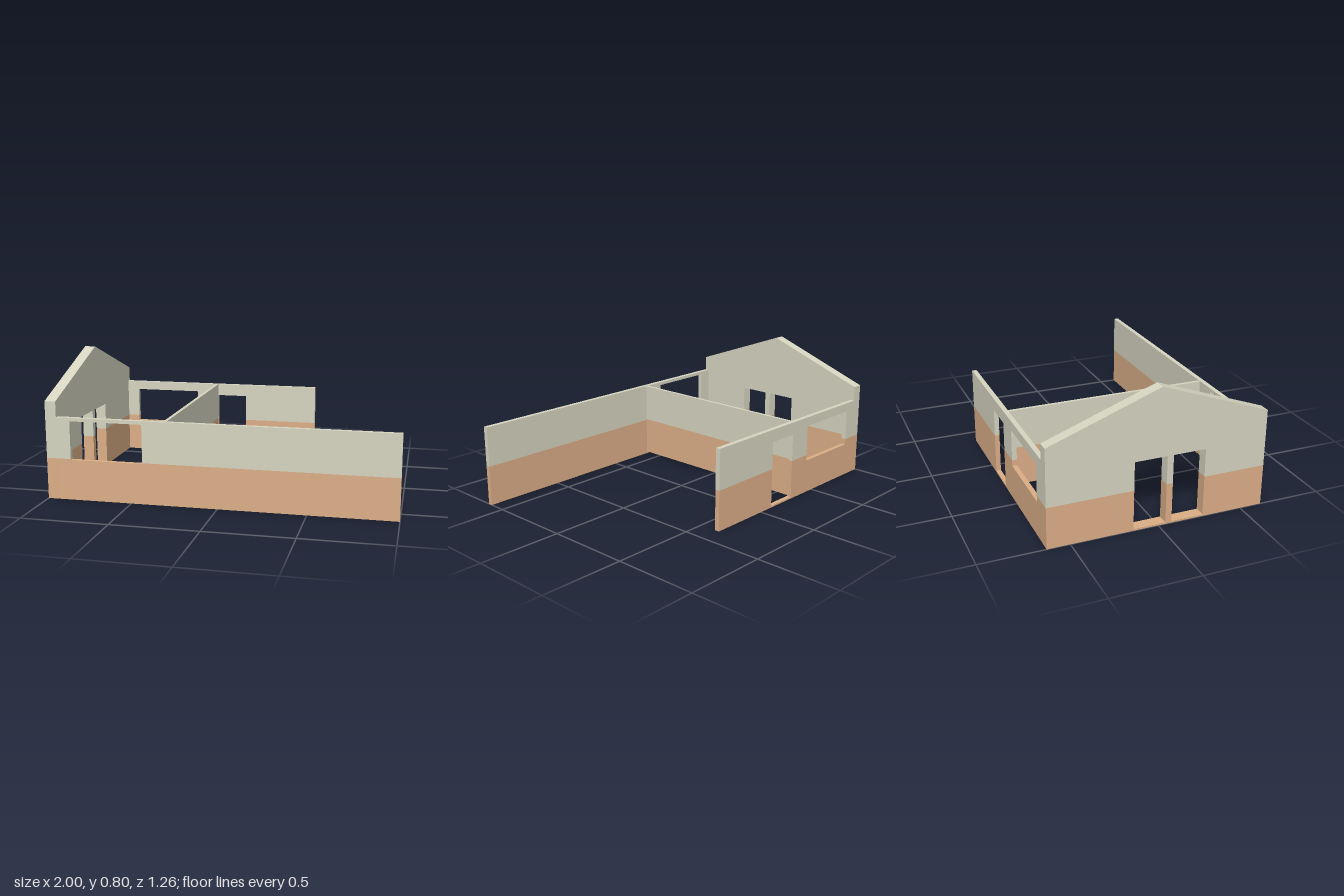
import * as THREE from 'three';

const lowerPaint = new THREE.MeshStandardMaterial({ color: 0xdcae87 });
const upperPaint = new THREE.MeshStandardMaterial({ color: 0xd6d5c1 });

// Extrudes a closed outline of [u, y] points to the wall thickness
function band(name, points, depth, material) {
  const shape = new THREE.Shape(points.map(([u, y]) => new THREE.Vector2(u, y)));
  const geometry = new THREE.ExtrudeGeometry(shape, { depth, bevelEnabled: false });
  const mesh = new THREE.Mesh(geometry, material);
  mesh.name = name;
  return mesh;
}

// Two-tone wall; every opening [u0, u1, bottom, top] straddles the paint line,
// so it notches the lower band from above and the upper band from below.
function wall(name, { u0, u1, base = 0, split = 0.24, depth, top, openings = [] }) {
  const paintLine = (edge) => [
    [u0, split],
    ...openings.flatMap((o) => [[o[0], split], [o[0], o[edge]], [o[1], o[edge]], [o[1], split]]),
    [u1, split],
  ];
  const group = new THREE.Group();
  group.name = name;
  group.add(
    band(name + 'LowerBand', [[u0, base], [u1, base], ...paintLine(2).reverse()], depth, lowerPaint),
    band(name + 'UpperBand', [...paintLine(3), ...top], depth, upperPaint),
  );
  return group;
}

export function createModel() {
  const house = new THREE.Group();
  house.name = 'houseWalls';
  const H = 0.48, inner = -0.935;

  // Long front wall with one window
  const frontWall = wall('frontWall', {
    u0: inner, u1: 1, depth: 0.028,
    top: [[1, H], [inner, H]],
    openings: [[-0.855, -0.43, 0.235, 0.46]],
  });
  frontWall.position.z = 0.602;

  // Shorter back wall with a window and a doorway
  const backWall = wall('backWall', {
    u0: inner, u1: 0.375, depth: 0.028,
    top: [[0.375, H], [inner, H]],
    openings: [[-0.86, -0.435, 0.205, 0.425], [-0.288, -0.095, 0.01, 0.405]],
  });
  backWall.position.z = -0.63;

  // Thick gable wall with two narrow doorways
  const gableWall = wall('gableWall', {
    u0: -0.63, u1: 0.63, depth: 0.065,
    top: [[0.63, 0.57], [0, 0.8], [-0.63, 0.57]],
    openings: [[-0.145, 0.042, 0.01, 0.405], [0.078, 0.266, 0.01, 0.405]],
  });
  gableWall.rotation.y = -Math.PI / 2;
  gableWall.position.x = inner;

  // Thin inner partition, raised slightly off the ground
  const partition = wall('partition', {
    u0: -0.602, u1: 0.598, base: 0.015, split: 0.248, depth: 0.02,
    top: [[0.598, H], [-0.602, H]],
  });
  partition.rotation.y = -Math.PI / 2;
  partition.position.x = -0.29;

  house.add(frontWall, backWall, gableWall, partition);
  return house;
}
